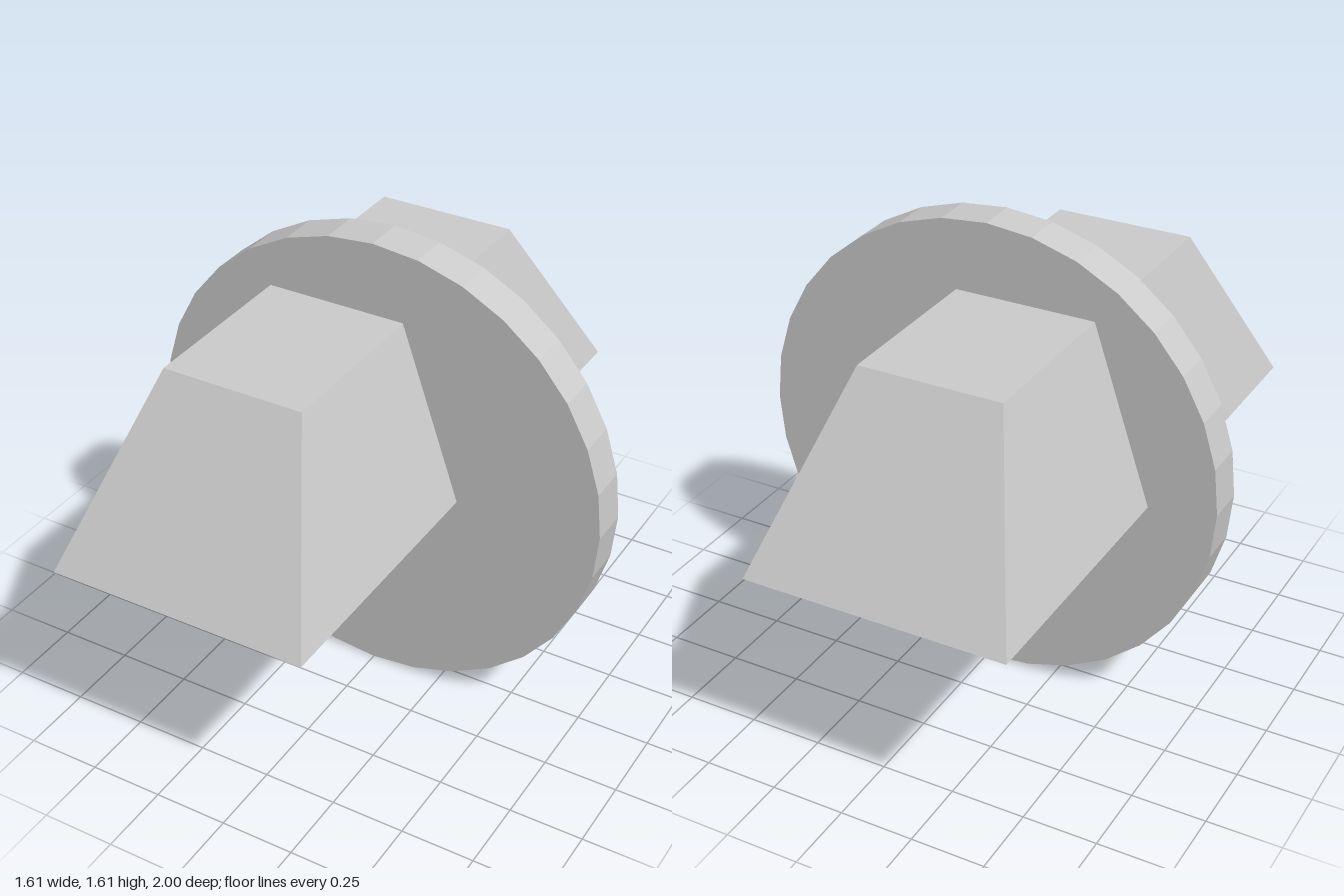
import * as THREE from 'three';

const material = new THREE.MeshStandardMaterial({ color: 0xcccccc, flatShading: true });

// Box whose upper face is shrunk to its own width and depth
function frustum(bottomWidth, bottomDepth, topWidth, topDepth, height) {
  const geometry = new THREE.BoxGeometry(bottomWidth, height, bottomDepth);
  const p = geometry.attributes.position;
  for (let i = 0; i < p.count; i++) {
    if (p.getY(i) > 0) {
      p.setX(i, Math.sign(p.getX(i)) * topWidth / 2);
      p.setZ(i, Math.sign(p.getZ(i)) * topDepth / 2);
    }
  }
  geometry.computeVertexNormals();
  return geometry;
}

export function createModel() {
  const group = new THREE.Group();

  // Upright disc facing front and back
  const radius = 0.805;
  const disc = new THREE.Mesh(new THREE.CylinderGeometry(radius, radius, 0.136, 32), material);
  disc.name = 'disc';
  disc.rotation.x = Math.PI / 2;
  disc.position.y = radius;
  group.add(disc);

  // Long tapered block passing through the disc, off centre
  const bottom = 0.767, top = 1.365;
  const block = new THREE.Mesh(frustum(0.882, 2, 0.48, 1.294, top - bottom), material);
  block.name = 'taperedBlock';
  block.position.set(-0.133, (bottom + top) / 2, 0);
  group.add(block);

  return group;
}
